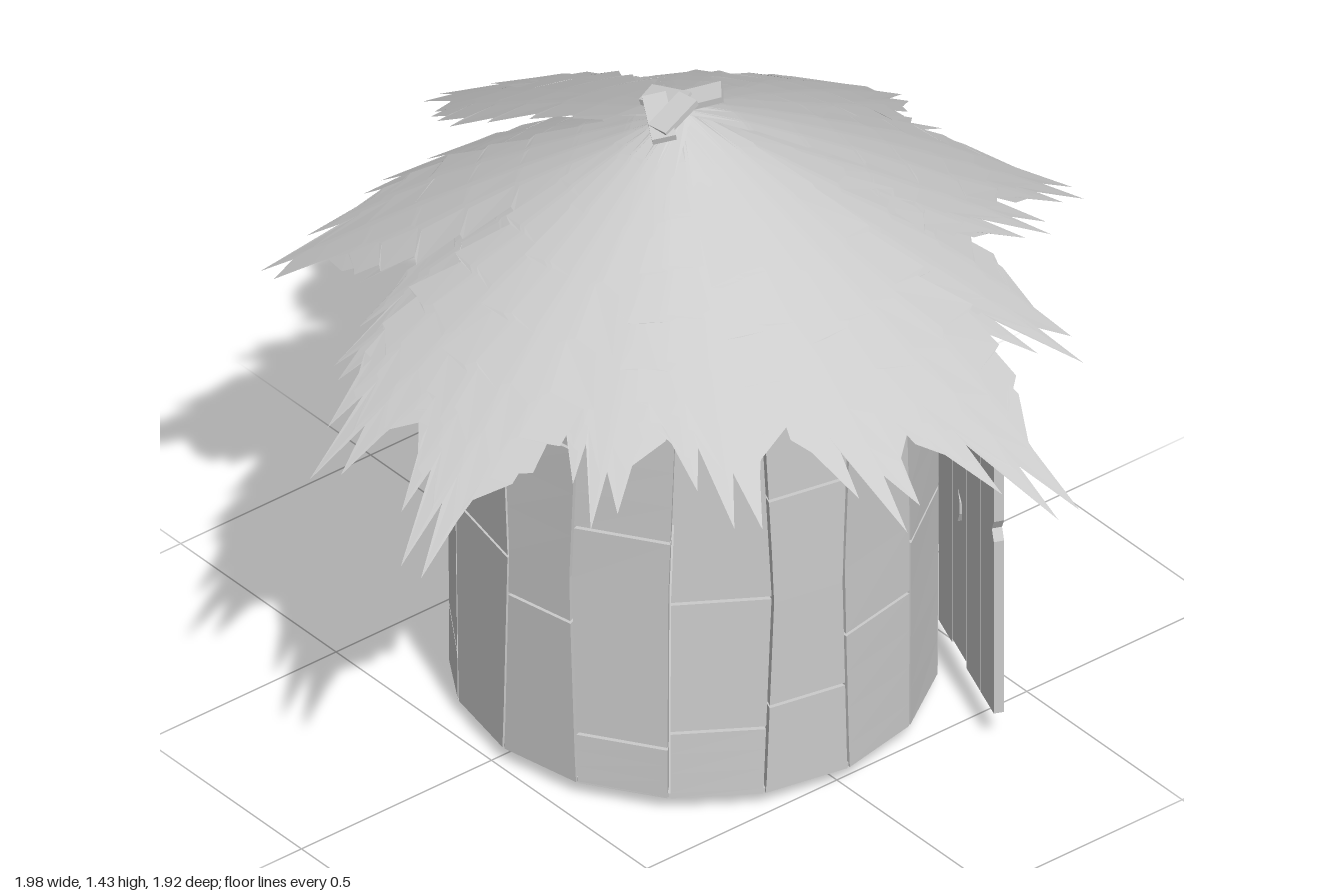
import * as THREE from 'three';

const grey = new THREE.MeshStandardMaterial({ color: 0xcccccc, flatShading: true });
const leafy = new THREE.MeshStandardMaterial({ color: 0xcccccc, flatShading: true, side: THREE.DoubleSide });
const CX = 0.02, CZ = -0.015, R = 0.5, SIDES = 16, TOP = 1.02;

function seeded(seed) {
  let s = seed * 7919 + 17;
  return () => (s = (s * 16807) % 2147483647) / 2147483647;
}

function add(parent, name, geometry, material = grey) {
  const mesh = new THREE.Mesh(geometry, material);
  mesh.name = name;
  parent.add(mesh);
  return mesh;
}

// Applies a rule to every vertex and rebuilds the normals
function reshape(geometry, rule) {
  const p = geometry.attributes.position, v = new THREE.Vector3();
  for (let i = 0; i < p.count; i++) {
    rule(v.fromBufferAttribute(p, i));
    p.setXYZ(i, v.x, v.y, v.z);
  }
  geometry.computeVertexNormals();
  return geometry;
}

// The underside dips a little on the -x side
const groundAt = x => 0.035 * THREE.MathUtils.smoothstep(x, -0.36, -0.15);

// Crooked seam between two plank columns: an angle that bends at mid height
const bends = Array.from({ length: SIDES }, (_, k) => {
  const rnd = seeded(k + 3);
  rnd();
  return [0, (rnd() - 0.5) * 0.1, (rnd() - 0.5) * 0.08];
});
function seam(k, y) {
  const b = bends[k % SIDES], t = Math.min(y / 0.52, 2), i = t < 1 ? 0 : 1;
  const straight = k >= 7 && k <= 9;
  const bend = straight ? 0 : THREE.MathUtils.lerp(b[i], b[i + 1], t - i);
  return Math.PI / 2 - (k * 2 * Math.PI) / SIDES + bend;
}

function plank(k, y0, y1) {
  return reshape(new THREE.BoxGeometry(1, 1, 1, 1, 4, 1), v => {
    const y = y0 + (v.y + 0.5) * (y1 - y0);
    const a = v.x < 0 ? seam(k, y) - 0.006 : seam(k + 1, y) + 0.006;
    const r = v.z > 0 ? R : R - 0.025;
    const x = CX + r * Math.cos(a);
    v.set(x, y0 === 0 && v.y < -0.49 ? groundAt(x) : y, CZ + r * Math.sin(a));
  });
}

function buildWall() {
  const wall = new THREE.Group();
  wall.name = 'plankWall';
  // Heights of the joints in each column; columns 7 and 8 stand over the doorway
  const joints = [[0.43, 0.86], [0.16, 0.67], [0.2, 0.52, 0.92], [0.25, 0.76], [0.37], [0.49], [0.3, 0.72],
    [], [], [0.14, 0.78], [0.4, 0.7], [0.22, 0.62], [0.48, 0.85], [0.15, 0.7], [0.15, 0.59], [0.52, 0.88]];
  joints.forEach((cuts, k) => {
    const overDoor = k === 7 || k === 8;
    const ys = [overDoor ? 0.83 : 0, ...cuts, TOP];
    for (let i = 0; i < ys.length - 1; i++) {
      add(wall, overDoor ? 'lintelPlank' : 'wallPlank', plank(k, ys[i], ys[i + 1] - 0.007));
    }
  });
  return wall;
}

function buildDoor() {
  const door = new THREE.Group();
  door.name = 'openDoor';
  const w = 0.38, n = 4, pw = w / n;
  for (let i = 0; i < n; i++) {
    const x0 = i * pw + 0.002, x1 = (i + 1) * pw - 0.002;
    const low = [0.06, 0.075, 0.065, 0.07][i], high = [0.8, 0.815, 0.8, 0.81][i];
    const s = new THREE.Shape();
    s.moveTo(x0, low);
    s.lineTo(x1, low + 0.005);
    // Small chips in the outer edge
    if (i === n - 1) [[0, 0.5], [-0.014, 0.525], [0, 0.55], [0, 0.77], [-0.014, 0.785]].forEach(([d, y]) => s.lineTo(x1 + d, y));
    s.lineTo(x1, high);
    s.lineTo(x0, high - 0.008);
    // Crescent peephole
    if (i === 1) {
      const cx = (x0 + x1) / 2, hole = new THREE.Path();
      hole.moveTo(cx - 0.01, 0.39);
      [[0.018, 0.41], [0.02, 0.45], [-0.01, 0.475], [0.004, 0.445], [0.002, 0.415]].forEach(([d, y]) => hole.lineTo(cx + d, y));
      s.holes.push(hole);
    }
    add(door, 'doorPlank', new THREE.ExtrudeGeometry(s, { depth: 0.022, bevelEnabled: false }));
  }
  // Hinged at the doorway's edge and swung outwards
  door.position.set(0.26, 0, -0.49);
  door.rotation.y = -Math.atan2(0.14, 0.35);
  return door;
}

// Ragged leaf laid on a cone: grid of rows by columns, toothed sides, pronged tip
function leaf(len, halfWidth, peak, tipY, seed) {
  const rnd = seeded(seed);
  rnd();
  const cols = [-1, -0.62, -0.52, -0.1, 0, 0.36, 0.46, 1];
  const ends = cols.map((u, i) => 1 - 0.2 * Math.abs(u) ** 1.5 - [0.04, 0, 0.13, 0, 0.12, 0, 0.1, 0.03][i] * (0.6 + 0.6 * rnd()));
  ends[3 + (seed % 2) * 2] = 1;
  const rows = [[0, 0.14]];
  for (let i = 1; i <= 7; i++) {
    const t = i / 8, full = t < 0.62 ? 0.14 + 0.86 * (t / 0.62) ** 0.85 : 1 - 0.35 * (t - 0.62) / 0.38;
    const tooth = i > 2 ? 0.1 + 0.12 * rnd() : 0.03;
    rows.push([t, full], [t + 0.012, full * (1 - tooth)]);
  }
  rows.push([1, 0.62]);
  const pos = [], idx = [], n = cols.length;
  rows.forEach(([t, w], j) => cols.forEach((u, i) => {
    const r = len * t * THREE.MathUtils.lerp(1, ends[i], t ** 3);
    const side = u * w * halfWidth;
    const q = Math.hypot(r, side) / len;
    pos.push(side, peak - (peak - tipY) * (0.83 * q + 0.17 * q * q), r);
    if (j && i) {
      const d = j * n + i;
      idx.push(d - n - 1, d - 1, d, d - n - 1, d, d - n);
    }
  }));
  const g = new THREE.BufferGeometry();
  g.setAttribute('position', new THREE.Float32BufferAttribute(pos, 3));
  g.setIndex(idx);
  g.computeVertexNormals();
  return g;
}

function buildRoof() {
  const roof = new THREE.Group();
  roof.name = 'leafRoof';
  // Tip x, tip z, half width, peak height, tip height
  const leaves = [
    [0.12, -0.96, 0.19, 1.41, 0.82], [-0.41, -0.9, 0.2, 1.4, 0.82], [-0.64, -0.61, 0.17, 1.37, 0.88],
    [-1.0, -0.16, 0.2, 1.4, 0.82], [-0.74, 0.2, 0.19, 1.37, 0.9], [-0.65, 0.58, 0.2, 1.38, 0.89],
    [-0.29, 0.68, 0.16, 1.365, 0.89], [-0.05, 0.93, 0.19, 1.39, 0.85], [0.28, 0.96, 0.19, 1.4, 0.82],
    [0.47, 0.61, 0.17, 1.37, 0.87], [0.68, 0.4, 0.2, 1.385, 0.89], [0.89, 0.12, 0.19, 1.375, 0.88],
    [0.99, -0.2, 0.21, 1.4, 0.82], [0.65, -0.53, 0.19, 1.38, 0.89],
    // Shorter leaves filling the gaps
    [0.3, -0.73, 0.18, 1.37, 0.93], [-0.14, -0.79, 0.18, 1.37, 0.93], [-0.76, -0.2, 0.16, 1.36, 0.97],
    [0.12, 0.68, 0.17, 1.36, 0.9], [-0.48, 0.45, 0.17, 1.36, 0.93], [0.62, -0.1, 0.17, 1.36, 0.95],
  ];
  leaves.forEach(([x, z, w, peak, tipY], i) => {
    const mesh = add(roof, 'roofLeaf', leaf(Math.hypot(x, z), w, peak, tipY, i + 5), leafy);
    mesh.rotation.y = Math.atan2(x, z);
  });
  // Loose leaf stems crossing at the peak
  [[-0.05, 1.395, 0, 0.1, 0.3], [0.01, 1.4, 0.03, 0.1, 1.7], [0, 1.405, -0.04, 0.11, 0.9], [-0.01, 1.39, 0.05, 0.12, 2.6]]
    .forEach(([x, y, z, l, turn]) => {
      const stem = add(roof, 'leafStem', new THREE.BoxGeometry(l, 0.015, 0.05));
      stem.position.set(x, y, z);
      stem.rotation.set(0.2, turn, 0.15);
    });
  return roof;
}

export function createModel() {
  const hut = new THREE.Group();
  hut.name = 'roundHut';
  // Floor disc with the same number of sides as the wall
  const floor = reshape(new THREE.CylinderGeometry(R - 0.004, R - 0.004, 1, SIDES), v => {
    v.x += CX;
    v.z += CZ;
    v.y = v.y > 0 ? 0.045 : groundAt(v.x);
  });
  add(hut, 'floor', floor);
  hut.add(buildWall(), buildDoor(), buildRoof());
  return hut;
}
